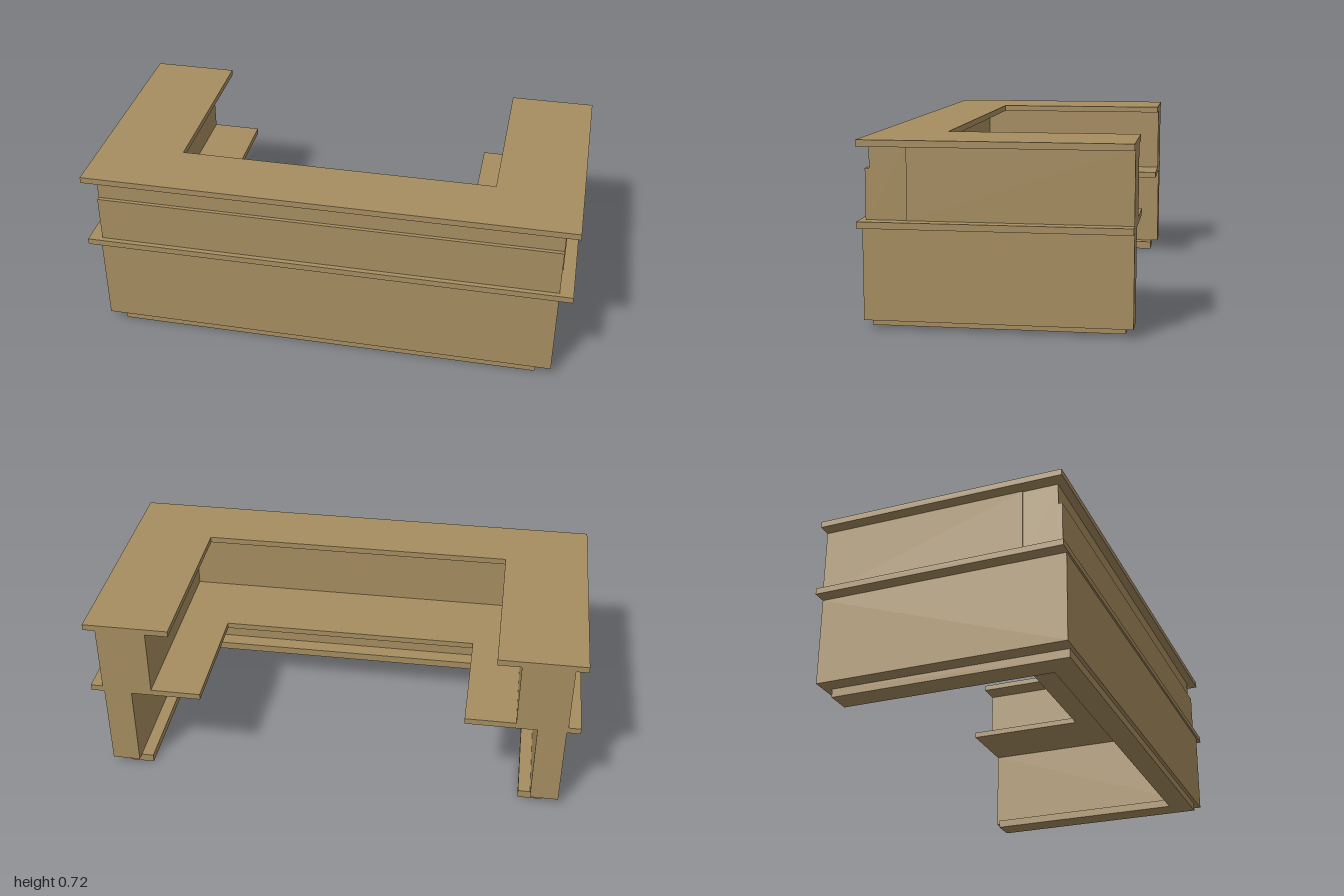
import * as THREE from 'three';

const material = new THREE.MeshStandardMaterial({ color: 0xa68d60 });

// U-shaped slab, open at the back, extruded between two heights
function uSlab(name, { outerX, innerX, front, innerFront, back = -0.505, bottom, top }) {
  const shape = new THREE.Shape([
    [-outerX, back], [-innerX, back], [-innerX, innerFront], [innerX, innerFront],
    [innerX, back], [outerX, back], [outerX, front], [-outerX, front],
  ].map(([x, z]) => new THREE.Vector2(x, z)));
  const geometry = new THREE.ExtrudeGeometry(shape, { depth: top - bottom, bevelEnabled: false });
  geometry.rotateX(Math.PI / 2).translate(0, top, 0);
  const mesh = new THREE.Mesh(geometry, material);
  mesh.name = name;
  return mesh;
}

// Box given by its limits on each axis
function block(name, [x0, x1], [y0, y1], [z0, z1]) {
  const mesh = new THREE.Mesh(new THREE.BoxGeometry(x1 - x0, y1 - y0, z1 - z0), material);
  mesh.position.set((x0 + x1) / 2, (y0 + y1) / 2, (z0 + z1) / 2);
  mesh.name = name;
  return mesh;
}

export function createModel() {
  const desk = new THREE.Group();
  desk.name = 'receptionDesk';

  // Recessed plinth, lower walls, work surface with outer ledge, top counter
  desk.add(
    uSlab('plinth', { outerX: 0.88, innerX: 0.78, front: 0.485, innerFront: 0.39, back: -0.473, bottom: 0, top: 0.034 }),
    uSlab('lowerWalls', { outerX: 0.945, innerX: 0.83, front: 0.5, innerFront: 0.457, bottom: 0.034, top: 0.39 }),
    uSlab('workSurface', { outerX: 1, innerX: 0.54, front: 0.507, innerFront: 0.015, bottom: 0.39, top: 0.415 }),
    uSlab('topCounter', { outerX: 1, innerX: 0.65, front: 0.504, innerFront: 0.235, bottom: 0.691, top: 0.716 }),
  );

  // Upper walls: two side walls and a front wall with a raised panel
  for (const side of [-1, 1]) {
    const xs = side < 0 ? [-0.95, -0.745] : [0.745, 0.95];
    desk.add(block(side < 0 ? 'upperWallRight' : 'upperWallLeft', xs, [0.415, 0.691], [-0.505, 0.33]));
  }
  desk.add(
    block('upperWallFront', [-0.945, 0.945], [0.415, 0.691], [0.33, 0.47]),
    block('frontPanel', [-0.945, 0.945], [0.415, 0.606], [0.47, 0.486]),
  );

  return desk;
}
